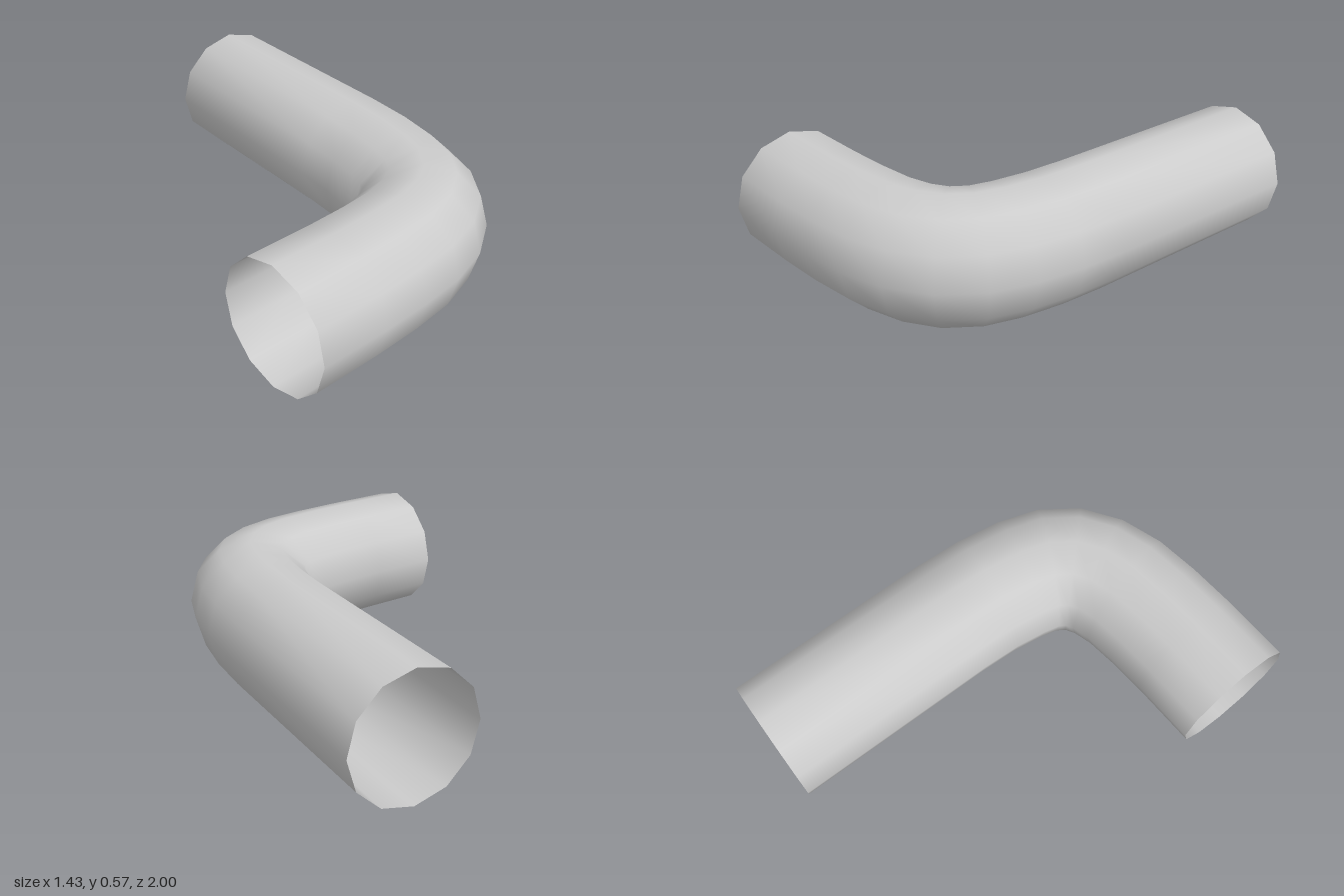
import * as THREE from 'three';

const RADIUS = 0.285;
const SIDES = 12;

// Centreline stations: x, z and heading in degrees (0 = along +x, 90 = along -z)
const STATIONS = [
  [-0.712, 0.715, -0.6],
  [-0.405, 0.713, 1],
  [-0.2, 0.704, 4.5],
  [-0.027, 0.686, 11.5],
  [0.111, 0.646, 24.6],
  [0.217, 0.58, 42.6],
  [0.291, 0.482, 61],
  [0.335, 0.354, 74.5],
  [0.368, 0.18, 82],
  [0.386, -0.02, 86.2],
  [0.428, -0.983, 86.5],
];

// Open tube swept through the stations, one ring of vertices per station
function bentTube() {
  const positions = [];
  const indices = [];
  STATIONS.forEach(([x, z, degrees], i) => {
    const heading = THREE.MathUtils.degToRad(degrees);
    for (let j = 0; j < SIDES; j++) {
      const angle = (j / SIDES) * Math.PI * 2;
      const out = RADIUS * Math.cos(angle);
      positions.push(
        x + out * Math.sin(heading),
        RADIUS + RADIUS * Math.sin(angle),
        z + out * Math.cos(heading),
      );
      if (i === 0) continue;
      const next = (j + 1) % SIDES;
      const a = (i - 1) * SIDES + j;
      const b = i * SIDES + j;
      const c = i * SIDES + next;
      const d = (i - 1) * SIDES + next;
      indices.push(a, b, d, b, c, d);
    }
  });
  const geometry = new THREE.BufferGeometry();
  geometry.setAttribute('position', new THREE.Float32BufferAttribute(positions, 3));
  geometry.setIndex(indices);
  geometry.computeVertexNormals();
  return geometry;
}

export function createModel() {
  const model = new THREE.Group();
  model.name = 'elbowPipe';

  // Hollow pipe wall, open at both ends
  const material = new THREE.MeshStandardMaterial({ color: 0xcccccc, side: THREE.DoubleSide });
  const pipe = new THREE.Mesh(bentTube(), material);
  pipe.name = 'pipeWall';
  model.add(pipe);

  return model;
}
